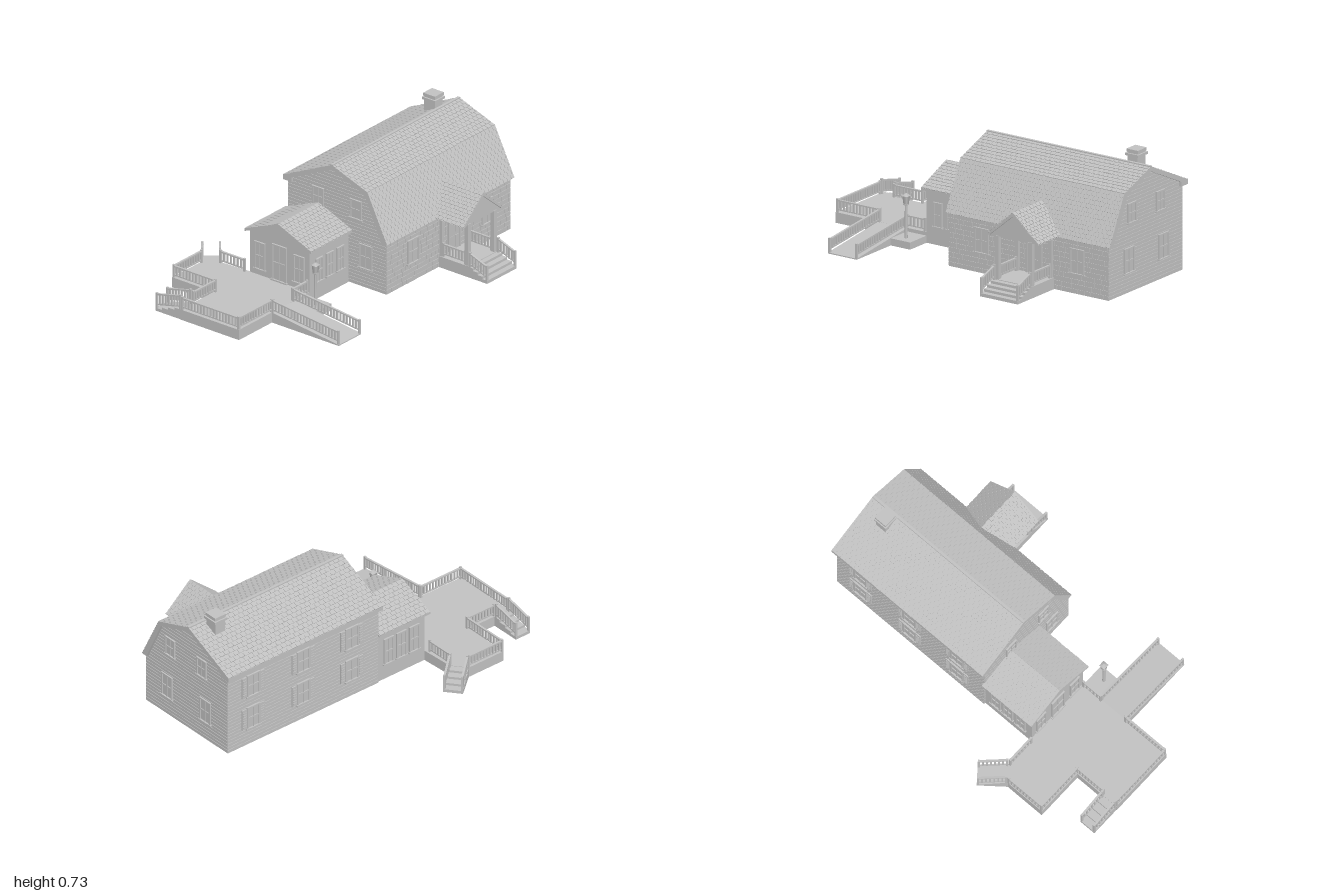
import * as THREE from 'three';
import { mergeGeometries } from 'three/addons/utils/BufferGeometryUtils.js';

const grey = new THREE.MeshStandardMaterial({ color: 0xc0c0c0 });
grey.name = 'plain grey';

let seed = 7;
const rand = () => (seed = (seed * 16807) % 2147483647) / 2147483647;
const V = (x, y, z) => new THREE.Vector3(x, y, z);

function add(parent, name, geometry) {
  const m = new THREE.Mesh(geometry, grey);
  m.name = name;
  parent.add(m);
  return m;
}
// box geometry from its lower and upper limits
function box(x0, x1, y0, y1, z0, z1) {
  return new THREE.BoxGeometry(x1 - x0, y1 - y0, z1 - z0).translate((x0 + x1) / 2, (y0 + y1) / 2, (z0 + z1) / 2);
}
function extrude(points, depth) {
  const shape = new THREE.Shape(points.map(([a, b]) => new THREE.Vector2(a, b)));
  return new THREE.ExtrudeGeometry(shape, { depth, bevelEnabled: false });
}
// (z, y) profile swept along x
const prismX = (pts, x0, x1) => extrude(pts, x1 - x0).rotateY(-Math.PI / 2).translate(x1, 0, 0);
// (x, z) outline raised from the ground
const slab = (pts, h) => extrude(pts.map(([x, z]) => [x, -z]), h).rotateX(-Math.PI / 2);

// bar of square section between two points, kept upright
function bar(a, b, w, h) {
  const d = b.clone().sub(a);
  const g = new THREE.BoxGeometry(w, h, d.length());
  const m = new THREE.Matrix4().lookAt(b, a, V(0, 1, 0));
  return g.applyMatrix4(m).translate((a.x + b.x) / 2, (a.y + b.y) / 2, (a.z + b.z) / 2);
}

// overlapping shingle rows: low edge from a to b, top edge starting at c
function shingles(parent, name, a, b, c, rows, size) {
  const x = b.clone().sub(a), up = c.clone().sub(a);
  const width = x.length(), rise = up.length() / rows;
  const n = x.clone().cross(up).normalize();
  const basis = new THREE.Matrix4().makeBasis(x.normalize(), up.normalize(), n).setPosition(a);
  const parts = [];
  for (let r = 0; r < rows; r++) {
    for (let s = r % 2 ? -size / 2 : 0; s < width - 0.001; s += size) {
      const s0 = Math.max(0, s), s1 = Math.min(width, s + size - 0.004);
      const drop = rand() * 0.003;
      const g = new THREE.BoxGeometry(s1 - s0, rise + drop - 0.002, 0.004);
      g.rotateX(-0.1);
      parts.push(g.translate((s0 + s1) / 2, (r + 0.5) * rise - drop / 2 + 0.001, 0.001));
    }
  }
  add(parent, name, mergeGeometries(parts).applyMatrix4(basis));
}

// framed sash window facing +z, centred at its base
function windowUnit(parent, w, h, x, y, z, turn, shutters = false) {
  const k = w / 2, f = 0.007;
  const parts = [
    box(-k, k, 0, h, -0.002, 0.004),
    box(-k - f, -k + 0.002, 0, h, 0, 0.010), box(k - 0.002, k + f, 0, h, 0, 0.010),
    box(-k - f, k + f, h, h + f, 0, 0.010), box(-k - 0.013, k + 0.013, -0.008, 0, 0, 0.014),
    box(-0.003, 0.003, 0, h, 0, 0.008), box(-k, k, h / 2 - 0.004, h / 2 + 0.004, 0, 0.009)
  ];
  if (shutters) for (const s of [-1, 1]) {
    const cx = s * (k + f + 0.018);
    parts.push(box(cx - 0.016, cx + 0.016, 0, h, 0, 0.007));
    for (let i = 0; i < 7; i++) {
      const yy = 0.012 + i * (h - 0.02) / 7;
      parts.push(box(cx - 0.012, cx + 0.012, yy, yy + 0.008, 0, 0.010));
    }
  }
  const m = add(parent, shutters ? 'shutteredWindow' : 'window', mergeGeometries(parts));
  m.position.set(x, y, z);
  m.rotation.y = turn;
}

// baluster railing whose foot runs from a to b
function railing(parent, a, b, h = 0.075) {
  const up = (p, y) => p.clone().add(V(0, y, 0));
  const parts = [bar(up(a, h - 0.005), up(b, h - 0.005), 0.012, 0.008), bar(up(a, 0.015), up(b, 0.015), 0.007, 0.007)];
  const n = Math.max(2, Math.round(a.distanceTo(b) / 0.022));
  for (let i = 0; i <= n; i++) {
    const p = a.clone().lerp(b, i / n), end = i === 0 || i === n, r = end ? 0.006 : 0.0045;
    parts.push(box(p.x - r, p.x + r, end ? p.y - 0.01 : p.y + 0.012, p.y + (end ? h + 0.004 : h - 0.005), p.z - r, p.z + r));
  }
  add(parent, 'railing', mergeGeometries(parts));
}

// flight descending along local +z, with a railing on each side
function stairs(parent, name, w, h, len, steps, x, z, turn) {
  const g = new THREE.Group();
  g.name = name;
  const t = len / steps;
  for (let i = 0; i < steps; i++) {
    const top = h * (steps - i) / (steps + 0.5);
    add(g, 'step', box(-w / 2, w / 2, 0, top, i * t - 0.002, (i + 1) * t));
    add(g, 'tread', box(-w / 2, w / 2, top, top + 0.004, i * t, (i + 1) * t));
  }
  for (const s of [-1, 1]) {
    const rx = s * (w / 2 - 0.006);
    railing(g, V(rx, h, 0.01), V(rx, 0.022, len - 0.007), 0.08);
  }
  g.position.set(x, 0, z);
  g.rotation.y = turn;
  parent.add(g);
}

function mainHouse(root) {
  const g = new THREE.Group();
  g.name = 'mainHouse';
  root.add(g);
  const X0 = -0.068, X1 = 0.982;
  add(g, 'walls', prismX([[0.357, 0], [0.357, 0.31], [0.22, 0.565], [-0.01, 0.645], [-0.318, 0.495], [-0.318, 0]], X0, X1));
  // gambrel roof shell
  add(g, 'roof', prismX([[0.37, 0.3], [0.235, 0.572], [-0.01, 0.66], [-0.345, 0.502], [-0.345, 0.478], [-0.285, 0.478],
    [-0.285, 0.505], [-0.01, 0.635], [0.215, 0.555], [0.335, 0.3]], -0.08, 1));
  shingles(g, 'lowerFrontShingles', V(-0.08, 0.3, 0.37), V(1, 0.3, 0.37), V(-0.08, 0.572, 0.235), 13, 0.032);
  shingles(g, 'upperFrontShingles', V(-0.08, 0.572, 0.235), V(1, 0.572, 0.235), V(-0.08, 0.66, -0.01), 10, 0.032);
  shingles(g, 'rearShingles', V(1, 0.502, -0.345), V(-0.08, 0.502, -0.345), V(1, 0.66, -0.01), 14, 0.032);
  add(g, 'ridgeCap', box(-0.08, 1, 0.656, 0.666, -0.018, -0.002));
  // clapboards on both gable ends and the rear
  const boards = [];
  for (let y = 0.004; y < 0.63; y += 0.02) {
    const t = y + 0.017;
    const zf = t < 0.31 ? 0.357 : t < 0.565 ? 0.357 - (t - 0.31) * 0.537 : 0.22 - (t - 0.565) * 2.875;
    const zr = t < 0.495 ? -0.318 : -0.318 + (t - 0.495) * 2.053;
    if (zf - zr < 0.03) break;
    boards.push(box(X0 - 0.003, X0, y, t, zr, zf), box(X1, X1 + 0.003, y, t, zr, zf));
    if (t < 0.485) boards.push(box(X0, X1, y, t, -0.321, -0.318));
  }
  add(g, 'clapboards', mergeGeometries(boards));
  // coursed stone front
  const stones = [];
  for (let r = 0; r < 11; r++) {
    for (let x = X0; x < X1 - 0.012;) {
      const e = Math.min(X1, x + 0.03 + rand() * 0.035);
      stones.push(box(x + 0.0015, e - 0.0015, r * 0.0275 + 0.0015, r * 0.0275 + 0.026, 0.356, 0.359 + rand() * 0.002));
      x = e;
    }
  }
  add(g, 'stoneFront', mergeGeometries(stones));
  for (const x of [0.15, 0.78]) windowUnit(g, 0.08, 0.13, x, 0.118, 0.36, 0);
  for (const x of [0.12, 0.46, 0.81]) for (const y of [0.11, 0.315]) windowUnit(g, 0.075, 0.125, x, y, -0.321, Math.PI, true);
  for (const s of [-1, 1]) {
    const wx = s > 0 ? X1 + 0.002 : X0 - 0.002;
    for (const z of [0.152, -0.108]) windowUnit(g, 0.066, 0.1, wx, 0.395, z, s * Math.PI / 2);
    for (const z of s > 0 ? [0.178, -0.138] : [0.22]) windowUnit(g, 0.076, 0.13, wx, 0.118, z, s * Math.PI / 2);
  }
  // chimney with stepped cap
  add(g, 'chimney', box(0.825, 0.892, 0.56, 0.72, -0.108, -0.035));
  add(g, 'chimneyBand', box(0.816, 0.901, 0.688, 0.702, -0.117, -0.026));
  add(g, 'chimneyCap', box(0.821, 0.896, 0.708, 0.725, -0.112, -0.031));
}

function porch(root) {
  const g = new THREE.Group();
  g.name = 'entrancePorch';
  root.add(g);
  add(g, 'floor', box(0.375, 0.625, 0, 0.065, 0.35, 0.562));
  add(g, 'gable', extrude([[0.35, 0.305], [0.65, 0.305], [0.65, 0.32], [0.5, 0.44], [0.35, 0.32]], 0.3).translate(0, 0, 0.255));
  add(g, 'roof', extrude([[0.33, 0.308], [0.345, 0.306], [0.5, 0.437], [0.655, 0.306], [0.67, 0.308], [0.5, 0.455]], 0.31).translate(0, 0, 0.256));
  shingles(g, 'leftShingles', V(0.67, 0.31, 0.566), V(0.67, 0.31, 0.27), V(0.5, 0.457, 0.566), 11, 0.03);
  shingles(g, 'rightShingles', V(0.33, 0.31, 0.27), V(0.33, 0.31, 0.566), V(0.5, 0.457, 0.27), 11, 0.03);
  for (const s of [-1, 1]) {
    const x = 0.5 + s * 0.11;
    add(g, 'post', box(x - 0.012, x + 0.012, 0.065, 0.31, 0.535, 0.559));
    add(g, 'wallPost', box(x - 0.01, x + 0.01, 0.065, 0.31, 0.36, 0.375));
    railing(g, V(x, 0.065, 0.38), V(x, 0.065, 0.53));
  }
  // front door with raised panels
  const door = [box(0.455, 0.54, 0.065, 0.245, 0.358, 0.366), box(0.446, 0.455, 0.065, 0.253, 0.358, 0.37),
    box(0.54, 0.549, 0.065, 0.253, 0.358, 0.37), box(0.446, 0.549, 0.245, 0.254, 0.358, 0.37)];
  for (const x of [0.463, 0.502]) for (const y of [0.08, 0.165]) door.push(box(x, x + 0.03, y, y + 0.065, 0.364, 0.369));
  add(g, 'frontDoor', mergeGeometries(door));
  stairs(g, 'frontSteps', 0.25, 0.065, 0.132, 4, 0.5, 0.56, 0);
}

function wing(root) {
  const g = new THREE.Group();
  g.name = 'sideWing';
  root.add(g);
  add(g, 'walls', prismX([[0.1, 0], [0.1, 0.305], [-0.105, 0.395], [-0.31, 0.305], [-0.31, 0]], -0.402, -0.06));
  add(g, 'roof', prismX([[0.125, 0.3], [0.125, 0.312], [-0.105, 0.408], [-0.335, 0.312], [-0.335, 0.3], [-0.105, 0.385]], -0.42, -0.065));
  shingles(g, 'frontShingles', V(-0.42, 0.312, 0.125), V(-0.07, 0.312, 0.125), V(-0.42, 0.408, -0.105), 10, 0.032);
  shingles(g, 'rearShingles', V(-0.07, 0.312, -0.335), V(-0.42, 0.312, -0.335), V(-0.07, 0.408, -0.105), 10, 0.032);
  for (const x of [-0.325, -0.235, -0.147]) {
    windowUnit(g, 0.046, 0.128, x, 0.105, 0.1, 0);
    windowUnit(g, 0.055, 0.15, x, 0.1, -0.31, Math.PI);
  }
  for (const z of [-0.24, 0.03]) windowUnit(g, 0.06, 0.15, -0.402, 0.1, z, -Math.PI / 2);
  windowUnit(g, 0.085, 0.2, -0.402, 0.07, -0.105, -Math.PI / 2);
}

function deck(root) {
  const g = new THREE.Group();
  g.name = 'deck';
  root.add(g);
  const H = 0.06;
  add(g, 'platform', slab([[-1, 0.1], [-0.4, 0.1], [-0.4, -0.31], [-0.41, -0.503], [-0.477, -0.588], [-0.72, -0.588], [-0.72, -0.302], [-1, -0.302]], H));
  // railings around the open edges
  const runs = [
    [-0.993, 0.093, -0.715, 0.093], [-0.993, 0.093, -0.993, -0.295], [-0.9, -0.295, -0.713, -0.295],
    [-0.713, -0.295, -0.713, -0.582], [-0.713, -0.582, -0.48, -0.582], [-0.417, -0.5, -0.417, -0.335], [-0.535, 0.093, -0.415, 0.093]
  ];
  for (const [x0, z0, x1, z1] of runs) railing(g, V(x0, H, z0), V(x1, H, z1), 0.072);
  // long plank ramp
  add(g, 'ramp', prismX([[0.095, 0], [0.095, H], [0.56, 0.006], [0.56, 0]], -0.72, -0.53));
  for (const x of [-0.713, -0.537]) railing(g, V(x, H, 0.1), V(x, 0.012, 0.553), 0.072);
  stairs(g, 'sideSteps', 0.1, H, 0.178, 4, -0.948, -0.3, Math.PI);
  stairs(g, 'angledSteps', 0.108, H, 0.168, 4, -0.444, -0.545, Math.atan2(0.129, -0.104));
}

function lamp(root) {
  const g = new THREE.Group();
  g.name = 'lampPost';
  add(root, 'lampPad', box(-0.53, -0.402, 0, 0.04, 0.095, 0.25));
  add(g, 'pole', new THREE.CylinderGeometry(0.007, 0.009, 0.19, 8).translate(0, 0.135, 0));
  add(g, 'lanternBase', box(-0.012, 0.012, 0.225, 0.232, -0.012, 0.012));
  add(g, 'lantern', new THREE.CylinderGeometry(0.021, 0.015, 0.044, 4).rotateY(Math.PI / 4).translate(0, 0.254, 0));
  add(g, 'lanternCap', new THREE.CylinderGeometry(0.006, 0.026, 0.014, 4).rotateY(Math.PI / 4).translate(0, 0.283, 0));
  g.position.set(-0.468, 0, 0.195);
  root.add(g);
}

export function createModel() {
  seed = 7;
  const root = new THREE.Group();
  root.name = 'cottage';
  [mainHouse, porch, wing, deck, lamp].forEach((build) => build(root));
  return root;
}
